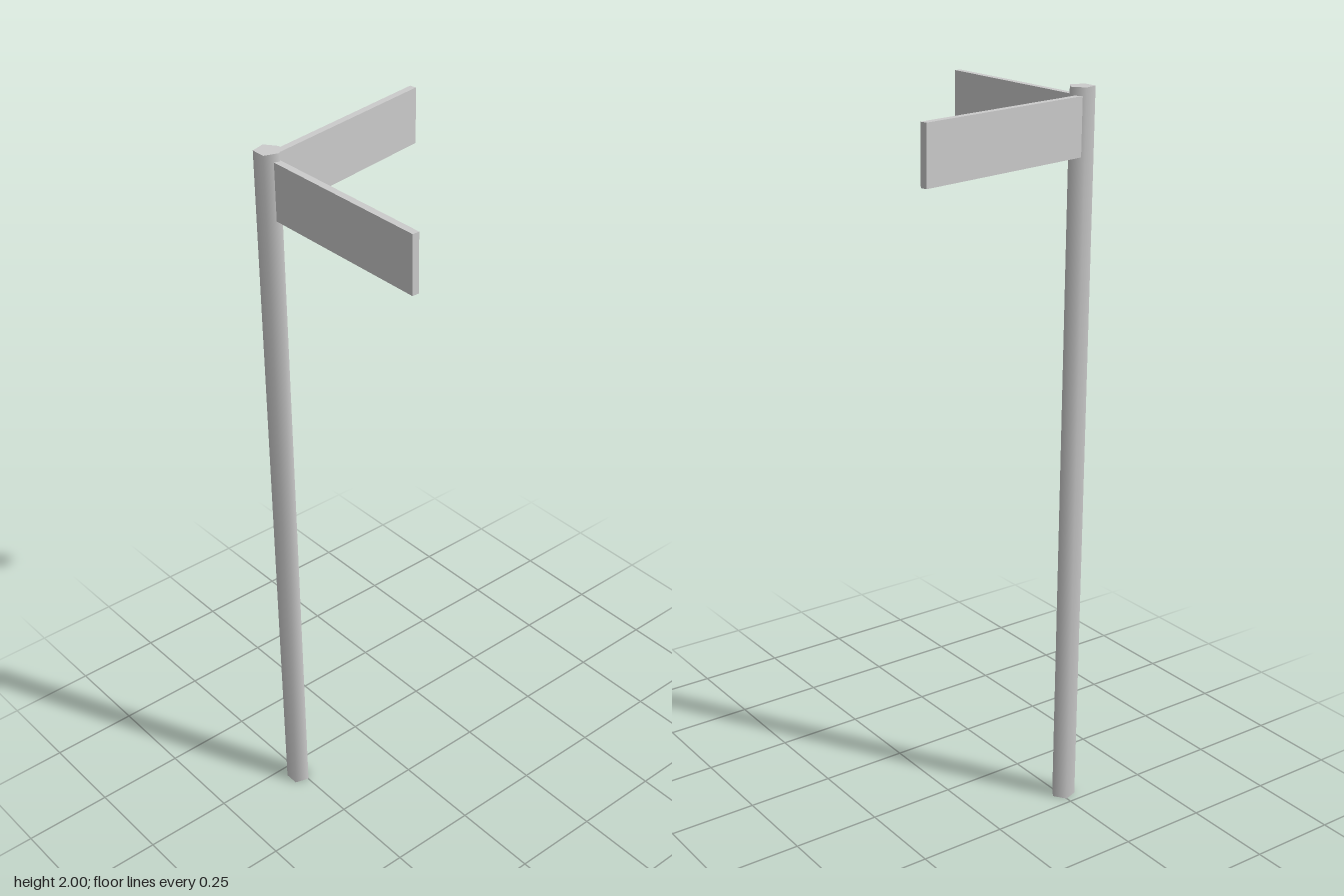
import * as THREE from 'three';

const material = new THREE.MeshStandardMaterial({ color: 0xcccccc });

// A sign board given by the middle of its outer end, its heading in plan and its length
function board(name, endX, endZ, angle, length) {
  const geometry = new THREE.BoxGeometry(length, 0.15, 0.019);
  geometry.translate(-length / 2, 0, 0);
  const mesh = new THREE.Mesh(geometry, material);
  mesh.name = name;
  mesh.position.set(endX, 1.904, endZ);
  mesh.rotation.y = angle;
  return mesh;
}

export function createModel() {
  const group = new THREE.Group();
  group.name = 'signpost';

  // Five-sided post with one corner towards +x
  const post = new THREE.Mesh(
    new THREE.CylinderGeometry(0.0343, 0.0343, 2, 5, 1, false, Math.PI / 2),
    material
  );
  post.name = 'post';
  post.position.set(-0.26, 1, -0.2);
  group.add(post);

  // Two boards, their inner ends buried in the post
  group.add(board('leftBoard', 0.2835, -0.3085, THREE.MathUtils.degToRad(10), 0.54));
  group.add(board('frontBoard', -0.2545, 0.316, -Math.PI / 2, 0.53));
  return group;
}
